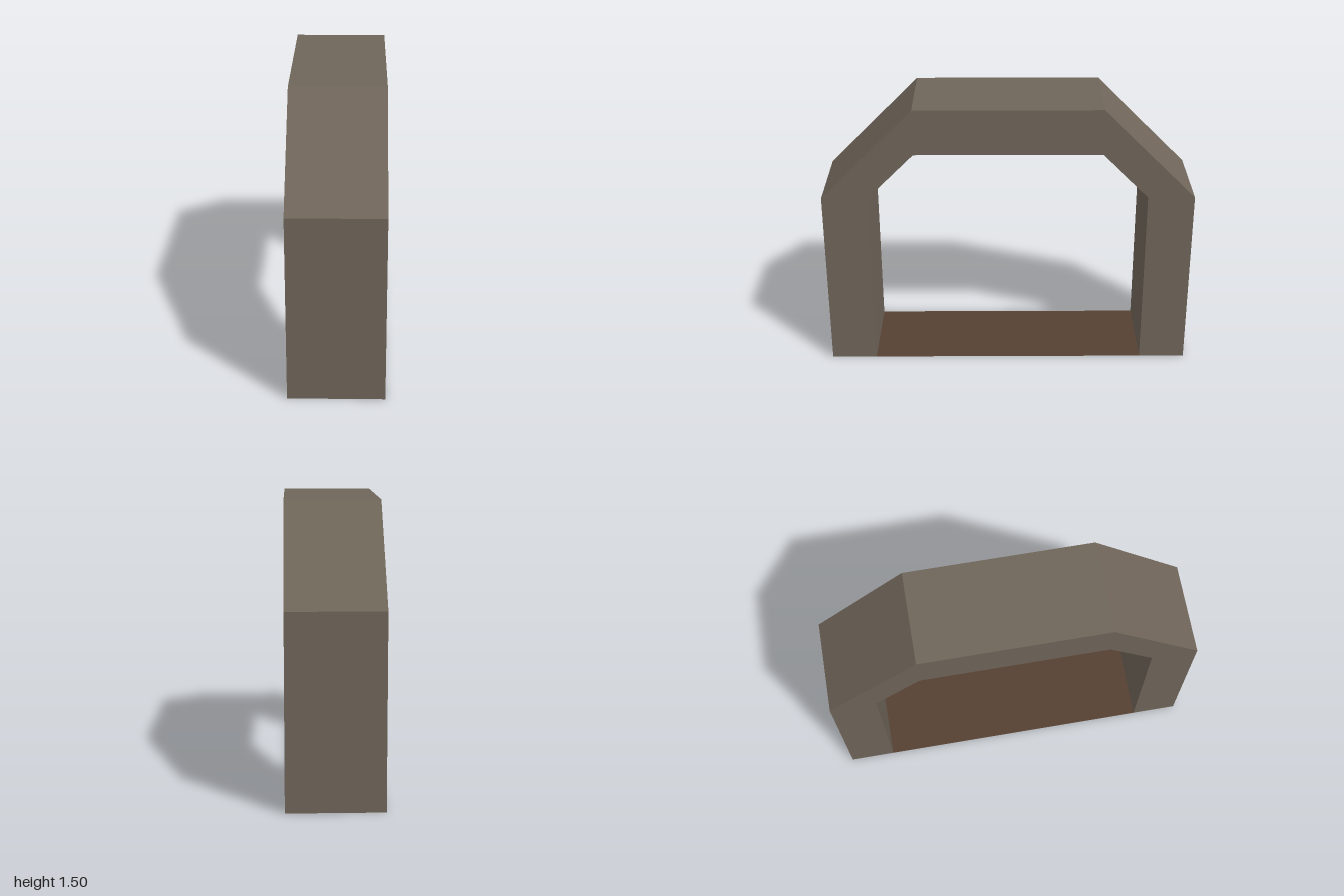
import * as THREE from 'three';

const WIDTH = 0.5;

export function createModel() {
  const stone = new THREE.MeshStandardMaterial({ color: 0x70665a });
  stone.name = 'stone';
  const earth = new THREE.MeshStandardMaterial({ color: 0x554132, side: THREE.DoubleSide });
  earth.name = 'brownFloor';

  const model = new THREE.Group();
  model.name = 'archway';

  // Arch: one half of the outline, mirrored to close the profile
  const outer = [[1, 0], [1, 1], [0.5, 1.5]];
  const inner = [[0.5, 1.25], [0.75, 1], [0.75, 0]];
  const mirror = (points) => points.map(([z, y]) => [-z, y]).reverse();
  const outline = [...outer, ...mirror(outer), ...mirror(inner), ...inner];
  const profile = new THREE.Shape(outline.map(([z, y]) => new THREE.Vector2(z, y)));
  const archGeometry = new THREE.ExtrudeGeometry(profile, { depth: WIDTH, bevelEnabled: false });
  archGeometry.translate(0, 0, -WIDTH / 2);
  archGeometry.rotateY(Math.PI / 2);
  const arch = new THREE.Mesh(archGeometry, stone);
  arch.name = 'arch';
  model.add(arch);

  // Thin floor between the two legs
  const floorGeometry = new THREE.PlaneGeometry(WIDTH, 1.5);
  floorGeometry.rotateX(-Math.PI / 2);
  const floor = new THREE.Mesh(floorGeometry, earth);
  floor.name = 'floor';
  model.add(floor);

  return model;
}
